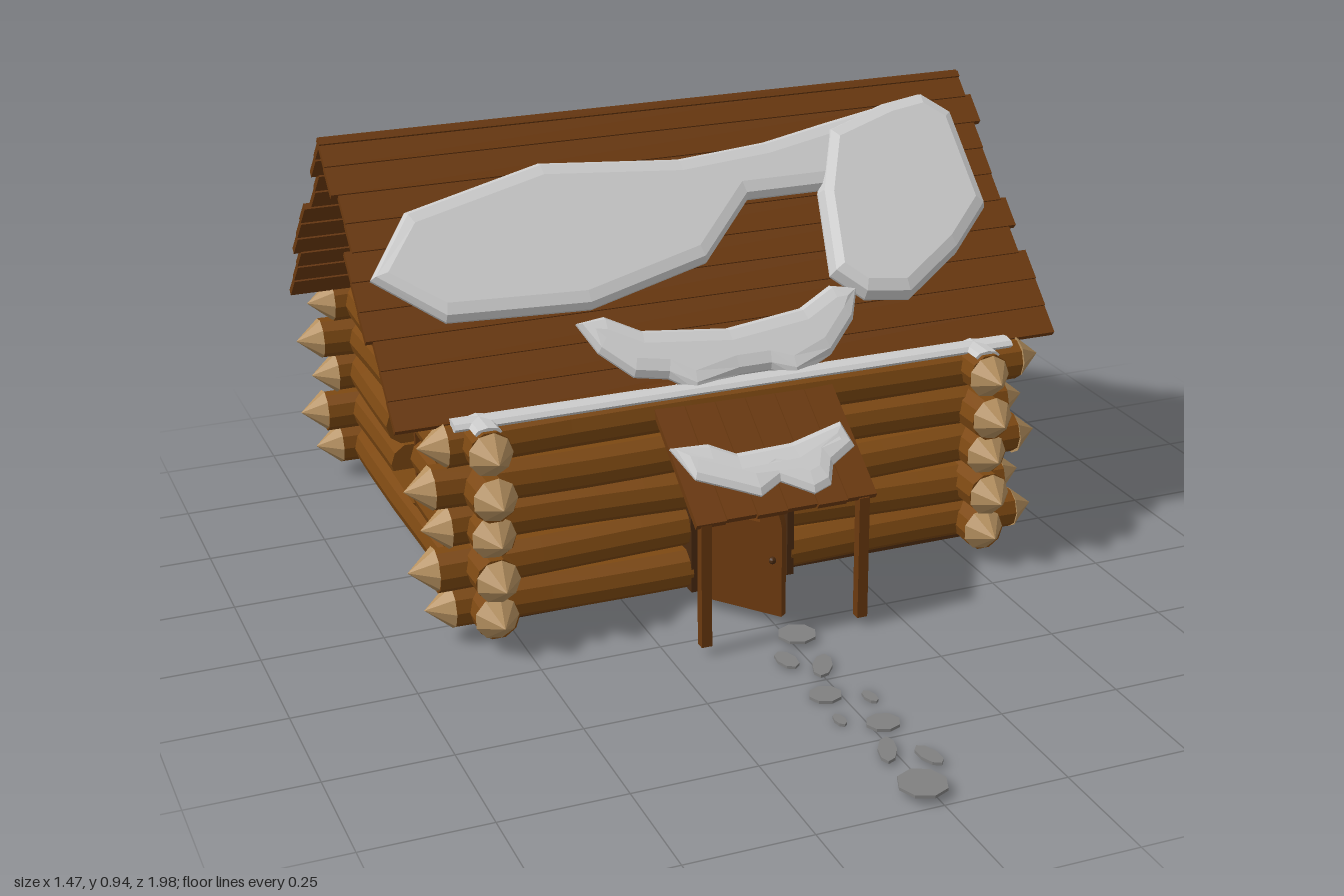
import * as THREE from 'three';

const mat = (color, side = THREE.FrontSide) => new THREE.MeshStandardMaterial({ color, flatShading: true, side });
const BARK = mat(0x7c4812), CUT = mat(0xb5905f), ROOF = mat(0x6b390f), DARK = mat(0x4a2a10);
const SNOW = mat(0xcccccc, THREE.DoubleSide), STONE = mat(0x808080);
const R = 0.045, RIDGE_Y = 0.94, RIDGE_Z = -0.385, RUN = 0.947;
const ROWS = [0.075, 0.163, 0.25, 0.338, 0.425];

function add(parent, name, geometry, material, x = 0, y = 0, z = 0) {
  const mesh = new THREE.Mesh(geometry, material);
  mesh.name = name;
  mesh.position.set(x, y, z);
  parent.add(mesh);
  return mesh;
}
const box = (w, h, d) => new THREE.BoxGeometry(w, h, d);
const poly = pts => new THREE.Shape(pts.map(([x, y]) => new THREE.Vector2(x, y)));

// Move every vertex of a geometry by a rule
function warp(geometry, rule) {
  const p = geometry.attributes.position, v = new THREE.Vector3();
  for (let i = 0; i < p.count; i++) {
    rule(v.fromBufferAttribute(p, i));
    p.setXYZ(i, v.x, v.y, v.z);
  }
  geometry.computeVertexNormals();
  return geometry;
}

// Piece of a slightly crooked log along x, trimmed to heights lo..hi
function logPiece(parent, a, b, row, lo = 0, hi = 1) {
  const geo = new THREE.CylinderGeometry(R, R, b - a, 10, 5).rotateZ(-Math.PI / 2).translate((a + b) / 2, ROWS[row], 0);
  add(parent, 'wallLog', warp(geo, v => {
    v.y = THREE.MathUtils.clamp(v.y + 0.004 * Math.sin(v.x * 5 + row * 2), lo, hi);
    v.z += 0.004 * Math.cos(v.x * 6 + row * 3);
  }), BARK);
}

// Wall of five stacked logs with pointed ends and an optional opening
function logWall(name, ends, opening) {
  const wall = new THREE.Group();
  wall.name = name;
  ROWS.forEach((y, row) => {
    const [tipA, tipB] = ends[row % 2];
    const a = tipA + 0.055, b = tipB - 0.055;
    if (opening && y + R > opening.y0 && y - R < opening.y1) {
      logPiece(wall, a, opening.x0, row);
      logPiece(wall, opening.x1, b, row);
      if (y - R < opening.y0 - 0.01) logPiece(wall, opening.x0, opening.x1, row, 0, opening.y0);
      if (y + R > opening.y1 + 0.01) logPiece(wall, opening.x0, opening.x1, row, opening.y1, 1);
    } else logPiece(wall, a, b, row);
    for (const [x, s] of [[a, 1], [b, -1]])
      add(wall, 'logEnd', new THREE.ConeGeometry(R + 0.001, 0.055, 9).rotateZ(s * Math.PI / 2), CUT, x - s * 0.0275, y, 0);
  });
  return wall;
}

// Snow patch drawn as seen from the front, laid over the slopes (s = -1 for the back)
function snowPatch(parent, name, outline, thick, s = 1) {
  const bevel = 0.025;
  const geo = new THREE.ExtrudeGeometry(poly(outline.map(([x, y]) => [x * s, y])), {
    depth: 0.006, bevelThickness: thick, bevelSize: bevel, bevelOffset: -bevel, bevelSegments: 2, steps: 1
  });
  add(parent, name, warp(geo, v => {
    const h = Math.max(v.z, -0.004), porch = s > 0 && v.y < 0.48;
    const z = porch ? 0.05 + (0.48 - v.y) * 1.42 : (RIDGE_Y - v.y) * RUN + RIDGE_Z;
    const [ny, nz] = porch ? [0.82, 0.57] : [0.69, 0.725];
    v.set(v.x * s, v.y + h * ny, RIDGE_Z + s * (z + h * nz - RIDGE_Z));
  }), SNOW);
}

// Arched outline standing on y0
function arch(T, cx, half, y0, spring) {
  const s = new T();
  s.moveTo(cx - half, y0);
  s.lineTo(cx + half, y0);
  s.lineTo(cx + half, spring);
  s.absarc(cx, spring, half, 0, Math.PI, false);
  s.lineTo(cx - half, y0);
  return s;
}

export function createModel() {
  const cabin = new THREE.Group();
  cabin.name = 'logCabin';

  // Log walls
  const wide = [[-0.68, 0.69], [-0.71, 0.655]], deep = [[-0.2, 0.95], [-0.22, 0.99]];
  const front = logWall('frontWall', wide, { x0: -0.12, x1: 0.1, y0: 0.0, y1: 0.315 });
  front.position.z = 0.06;
  const back = logWall('backWall', wide, { x0: -0.14, x1: 0.12, y0: 0.145, y1: 0.33 });
  back.position.z = -0.845;
  cabin.add(front, back);
  add(back, 'windowBar', box(0.014, 0.19, 0.02), ROOF, -0.01, 0.238, 0);
  for (const [name, x] of [['leftWall', 0.53], ['rightWall', -0.555]]) {
    const wall = logWall(name, deep, { x0: 0.3, x1: 0.48, y0: 0.145, y1: 0.33 });
    wall.rotation.y = Math.PI / 2;
    wall.position.x = x;
    add(wall, 'windowBar', box(0.012, 0.19, 0.02), ROOF, 0.39, 0.238, 0);
    cabin.add(wall);
  }
  add(cabin, 'floor', box(1.1, 0.02, 0.92), DARK, -0.012, 0.036, -0.392);

  // Gable boards, cut to follow the roof
  for (const x of [0.52, -0.56]) for (let i = -8; i <= 8; i++) {
    const c = i * 0.044, top = z => 0.905 - Math.abs(z) * 1.045;
    const pts = [[c - 0.018, 0.45], [c + 0.018, 0.45], [c + 0.018, top(c + 0.018)]];
    if (i === 0) pts.push([0, top(0)]);
    pts.push([c - 0.018, top(c - 0.018)]);
    const geo = new THREE.ExtrudeGeometry(poly(pts), { depth: 0.015, bevelEnabled: false });
    add(cabin, 'gableBoard', geo.rotateY(Math.PI / 2), DARK, x, 0, RIDGE_Z);
  }

  // Overlapping roof boards on both slopes
  const shift = [[-0.735, 0.71], [-0.735, 0.725], [-0.72, 0.71], [-0.72, 0.71], [-0.735, 0.71],
    [-0.735, 0.725], [-0.735, 0.71], [-0.72, 0.73], [-0.72, 0.73], [-0.72, 0.73]];
  for (const s of [1, -1]) {
    const slope = new THREE.Group();
    slope.name = s > 0 ? 'frontRoof' : 'backRoof';
    slope.position.z = RIDGE_Z;
    if (s < 0) slope.rotation.y = Math.PI;
    shift.forEach(([a, b], i) => {
      const t = (i + 0.5) * 0.047;
      const board = add(slope, 'roofBoard', box(b - a, 0.014, 0.07), ROOF, s * (a + b) / 2, RIDGE_Y - 0.007 - t, t * RUN - 0.006);
      board.rotation.x = Math.atan2(1, RUN) - 0.06;
    });
    cabin.add(slope);
  }

  // Porch roof and posts
  for (let i = 0; i < 6; i++) {
    const len = 0.335 - (i % 2) * 0.006;
    const board = add(cabin, 'porchBoard', box(0.063, 0.014, len), ROOF, -0.168 + i * 0.065, 0.379, 0.183);
    board.rotation.x = Math.atan2(0.19, 0.27);
  }
  for (const x of [-0.178, 0.162]) {
    add(cabin, 'porchPost', box(0.022, 0.265, 0.022), ROOF, x, 0.152, 0.31);
    const rafter = add(cabin, 'porchRafter', box(0.02, 0.02, 0.27), ROOF, x, 0.357, 0.19);
    rafter.rotation.x = Math.atan2(0.19, 0.27);
  }

  // Door frame with an arched opening
  const frame = poly([[-0.125, 0.03], [0.105, 0.03], [0.105, 0.32], [-0.125, 0.32]]);
  frame.holes.push(arch(THREE.Path, -0.01, 0.1, 0.031, 0.19));
  add(cabin, 'doorFrame', new THREE.ExtrudeGeometry(frame, { depth: 0.07, bevelEnabled: false }), DARK, 0, 0, 0.035);

  // Door standing ajar, with a small barred window
  const door = new THREE.Group();
  door.name = 'door';
  door.position.set(-0.1, 0, 0.105);
  door.rotation.y = -0.9;
  const leaf = arch(THREE.Shape, 0.098, 0.095, 0.025, 0.212);
  leaf.holes.push(arch(THREE.Path, 0.098, 0.045, 0.225, 0.235));
  add(door, 'doorLeaf', new THREE.ExtrudeGeometry(leaf, { depth: 0.018, bevelEnabled: false }), ROOF);
  add(door, 'doorBar', box(0.01, 0.06, 0.01), ROOF, 0.098, 0.252, 0.009);
  add(door, 'doorHandle', new THREE.SphereGeometry(0.008, 6, 5), DARK, 0.175, 0.15, 0.024);
  cabin.add(door);

  // Snow on the roof and porch
  snowPatch(cabin, 'roofSnow', [[-0.7, 0.7], [-0.57, 0.62], [-0.27, 0.61], [0, 0.66], [0.13, 0.755], [0.32, 0.755],
    [0.45, 0.8], [0.52, 0.89], [0.35, 0.868], [0.2, 0.847], [0, 0.835], [-0.3, 0.855], [-0.6, 0.8]], 0.018);
  snowPatch(cabin, 'roofSnow', [[0.26, 0.61], [0.32, 0.565], [0.42, 0.555], [0.56, 0.62], [0.66, 0.69], [0.65, 0.86],
    [0.59, 0.9], [0.5, 0.89], [0.35, 0.855], [0.29, 0.75]], 0.03);
  snowPatch(cabin, 'eaveSnow', [[-0.31, 0.59], [-0.28, 0.54], [-0.22, 0.495], [-0.15, 0.485], [-0.1, 0.46], [0, 0.475],
    [0.07, 0.475], [0.12, 0.46], [0.21, 0.485], [0.28, 0.535], [0.31, 0.585], [0.25, 0.595], [0.17, 0.565],
    [0, 0.55], [-0.18, 0.565], [-0.25, 0.595]], 0.018);
  snowPatch(cabin, 'porchSnow', [[-0.2, 0.39], [-0.17, 0.345], [-0.1, 0.325], [-0.05, 0.31], [0, 0.325], [0.06, 0.302],
    [0.1, 0.31], [0.12, 0.335], [0.18, 0.355], [0.17, 0.39], [0.05, 0.372], [-0.07, 0.37], [-0.12, 0.388]], 0.012);
  const backOutline = [[-0.66, -0.7], [-0.45, -0.55], [-0.37, -0.54], [-0.2, -0.47], [0, -0.44], [0.2, -0.43], [0.29, -0.46],
    [0.35, -0.58], [0.43, -0.68], [0.56, -0.76], [0.4, -0.8], [0.1, -0.82], [-0.02, -0.77], [-0.02, -0.68], [0.05, -0.64],
    [0.17, -0.63], [0, -0.6], [-0.2, -0.61], [-0.37, -0.65], [-0.35, -0.69], [-0.4, -0.73], [-0.57, -0.735]];
  snowPatch(cabin, 'backRoofSnow', backOutline.map(([x, z]) => [x, RIDGE_Y + (z - RIDGE_Z) / RUN]), 0.014, -1);

  // Snow lying along the top logs
  const ridgeSnow = len => new THREE.CylinderGeometry(0.028, 0.028, len, 8).rotateZ(Math.PI / 2).scale(1, 0.4, 1);
  add(cabin, 'logSnow', ridgeSnow(1.22), SNOW, 0, 0.467, 0.07);
  for (const x of [0.53, -0.555])
    add(cabin, 'logSnow', ridgeSnow(1.02).rotateY(Math.PI / 2), SNOW, x, 0.467, -0.375);

  // Stepping stones: x, z, half width, half length, turn
  const stones = [[-0.015, 0.943, 0.047, 0.05, 0], [0.045, 0.85, 0.018, 0.038, 0.2], [-0.015, 0.8, 0.018, 0.045, -0.4],
    [0.025, 0.7, 0.034, 0.032, 0], [-0.046, 0.66, 0.011, 0.022, 0], [0.046, 0.6, 0.012, 0.024, 0.1],
    [-0.03, 0.56, 0.033, 0.032, 0], [0.012, 0.455, 0.02, 0.045, -0.5], [-0.045, 0.41, 0.02, 0.036, 0.1], [0.015, 0.325, 0.04, 0.04, 0]];
  for (const [x, z, w, l, turn] of stones) {
    const stone = add(cabin, 'steppingStone', new THREE.CylinderGeometry(1, 1, 0.006, 8), STONE, x, 0.003 + 0.014 * ((z - 0.6) / 0.35) ** 2, z);
    stone.scale.set(w, 1, l);
    stone.rotation.y = turn;
  }
  return cabin;
}
